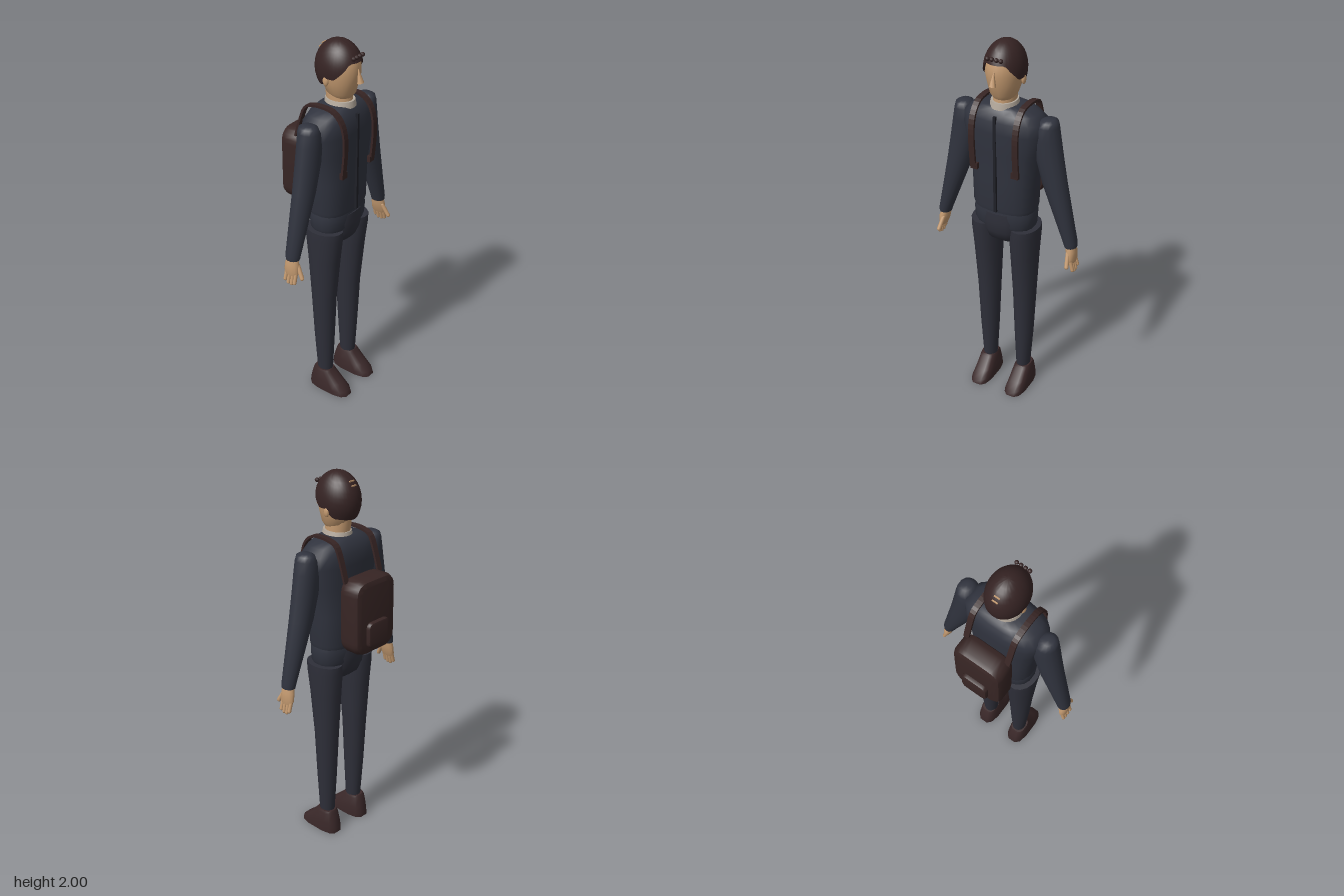
import * as THREE from 'three';
import { toCreasedNormals } from 'three/addons/utils/BufferGeometryUtils.js';

const material = (name, color, side = THREE.FrontSide) => {
  const m = new THREE.MeshStandardMaterial({ color, side });
  m.name = name;
  return m;
};

// Closed tube through horizontal sections [y, cx, cz, rx, rz], listed bottom to top
function loft(sections, sides = 16, power = 2) {
  const pos = [], index = [];
  const bend = (v) => Math.sign(v) * Math.pow(Math.abs(v), 2 / power);
  for (const [y, cx, cz, rx, rz] of sections) {
    for (let i = 0; i < sides; i++) {
      const a = ((i + 0.5) / sides) * Math.PI * 2;
      pos.push(cx + rx * bend(Math.cos(a)), y, cz + rz * bend(Math.sin(a)));
    }
  }
  const last = sections.length - 1;
  const low = sections.length * sides, high = low + 1;
  pos.push(sections[0][1], sections[0][0], sections[0][2]);
  pos.push(sections[last][1], sections[last][0], sections[last][2]);
  for (let i = 0; i < sides; i++) {
    const j = (i + 1) % sides;
    for (let r = 0; r < last; r++) {
      const a = r * sides + i, b = r * sides + j;
      index.push(a, a + sides, b, b, a + sides, b + sides);
    }
    index.push(low, i, j, high, last * sides + j, last * sides + i);
  }
  const g = new THREE.BufferGeometry();
  g.setAttribute('position', new THREE.Float32BufferAttribute(pos, 3));
  g.setIndex(index);
  return toCreasedNormals(g, 0.9);
}

// Hair cap: an ellipsoid cut off along a hairline that varies around the head
function hairCap() {
  const line = [[0, 1.91], [0.58, 1.91], [0.8, 1.88], [1.25, 1.83], [1.6, 1.83], [1.95, 1.785], [3.2, 1.775]];
  const lineAt = (p) => {
    const k = line.findIndex((e, i) => i > 0 && p <= e[0]);
    const [a, b] = [line[k - 1], line[k]];
    return a[1] + (b[1] - a[1]) * (p - a[0]) / (b[0] - a[0]);
  };
  const n = 40, rows = 12, pos = [], index = [];
  for (let r = 0; r <= rows; r++) {
    for (let i = 0; i < n; i++) {
      const a = (i / n) * Math.PI * 2;
      const start = Math.asin((lineAt(Math.min(a, Math.PI * 2 - a)) - 1.86) / 0.14);
      const t = start + (Math.PI / 2 - start) * Math.max(0, r - 1) / (rows - 1);
      const k = Math.cos(t) * (r === 0 ? 0.82 : 1);
      pos.push(0.1 * k * Math.sin(a), 1.86 + 0.14 * Math.sin(t), 0.06 + 0.123 * k * Math.cos(a));
    }
  }
  for (let r = 0; r < rows; r++) {
    for (let i = 0; i < n; i++) {
      const a = r * n + i, b = r * n + (i + 1) % n;
      index.push(a, b, a + n, b, b + n, a + n);
    }
  }
  const g = new THREE.BufferGeometry();
  g.setAttribute('position', new THREE.Float32BufferAttribute(pos, 3));
  g.setIndex(index);
  return toCreasedNormals(g, 0.9);
}

// Flat strap following a path of [z, y] points
function strap(points, width, thick) {
  const curve = new THREE.SplineCurve(points.map((p) => new THREE.Vector2(...p)));
  const outer = [], inner = [];
  for (let i = 0; i <= 28; i++) {
    const p = curve.getPoint(i / 28), t = curve.getTangent(i / 28);
    const off = new THREE.Vector2(-t.y, t.x).multiplyScalar(thick / 2);
    outer.push(p.clone().add(off));
    inner.unshift(p.clone().sub(off));
  }
  const g = new THREE.ExtrudeGeometry(new THREE.Shape([...outer, ...inner]), { depth: width, bevelEnabled: false });
  return g.rotateY(-Math.PI / 2).translate(width / 2, 0, 0);
}

// Rounded, bevelled slab spanning x +-w/2, y0..y1, z0..z1
function slab(w, y0, y1, z0, z1, radius, bevel) {
  const x = w / 2 - bevel, b = y0 + bevel, t = y1 - bevel, r = radius;
  const s = new THREE.Shape();
  s.moveTo(-x + r, b).lineTo(x - r, b).quadraticCurveTo(x, b, x, b + r);
  s.lineTo(x, t - r).quadraticCurveTo(x, t, x - r, t).lineTo(-x + r, t);
  s.quadraticCurveTo(-x, t, -x, t - r).lineTo(-x, b + r).quadraticCurveTo(-x, b, -x + r, b);
  const g = new THREE.ExtrudeGeometry(s, {
    depth: z1 - z0 - 2 * bevel, bevelThickness: bevel, bevelSize: bevel, bevelSegments: 2, curveSegments: 5,
  });
  return toCreasedNormals(g.translate(0, 0, z0 + bevel), 0.7);
}

// Capsule between two points
function finger(a, b, radius) {
  const p = new THREE.Vector3(...a), d = new THREE.Vector3(...b).sub(p);
  const g = new THREE.CapsuleGeometry(radius, d.length(), 3, 8);
  g.applyQuaternion(new THREE.Quaternion().setFromUnitVectors(new THREE.Vector3(0, 1, 0), d.clone().normalize()));
  return g.translate(...p.addScaledVector(d, 0.5).toArray());
}

export function createModel() {
  const model = new THREE.Group();
  model.name = 'walkerWithBackpack';
  const jacket = material('jacketNavy', 0x30333e);
  const trousers = material('trouserCharcoal', 0x2e2f39);
  const leather = material('packBrown', 0x372524);
  const shoe = material('shoeBrown', 0x3a2829);
  const hair = material('hairBrown', 0x352323, THREE.DoubleSide);
  const skin = material('skin', 0xc49a70);
  const cloth = material('collarGrey', 0xb4a99c);
  const dark = material('zipDark', 0x1f2027);
  const add = (name, geometry, mat) => {
    const mesh = new THREE.Mesh(geometry, mat);
    mesh.name = name;
    model.add(mesh);
    return mesh;
  };

  // Torso and hips
  add('jacketBody', loft([
    [1.12, 0, 0.053, 0.163, 0.108], [1.14, 0, 0.053, 0.168, 0.112], [1.3, 0, 0.053, 0.172, 0.113],
    [1.45, 0, 0.054, 0.192, 0.116], [1.56, 0, 0.055, 0.215, 0.12], [1.62, 0, 0.055, 0.212, 0.116],
    [1.655, 0, 0.056, 0.175, 0.1], [1.677, 0, 0.058, 0.125, 0.085], [1.688, 0, 0.06, 0.07, 0.072]], 20, 2.6), jacket);
  add('jacketHem', loft([
    [1.02, 0, 0.055, 0.155, 0.095], [1.04, 0, 0.055, 0.163, 0.103], [1.1, 0, 0.055, 0.166, 0.107],
    [1.13, 0, 0.055, 0.16, 0.104]], 20, 2.5), jacket);
  add('pelvis', loft([
    [0.93, 0, 0.055, 0.08, 0.06], [0.95, 0, 0.055, 0.098, 0.085], [1.0, 0, 0.055, 0.112, 0.107],
    [1.06, 0, 0.055, 0.122, 0.113], [1.11, 0, 0.055, 0.118, 0.111]], 18, 2.5), trousers);
  add('zip', new THREE.BoxGeometry(0.014, 0.52, 0.014).translate(0, 1.39, 0.17), dark);

  // Neck, collar and head
  add('collar', loft([[1.675, 0, 0.068, 0.072, 0.082], [1.707, 0, 0.068, 0.064, 0.076]], 20), cloth);
  add('neck', loft([[1.68, 0, 0.068, 0.056, 0.068], [1.78, 0, 0.055, 0.056, 0.07]], 18), skin);
  add('face', loft([
    [1.722, 0, 0.078, 0.05, 0.054], [1.745, 0, 0.073, 0.067, 0.074], [1.8, 0, 0.065, 0.082, 0.096],
    [1.85, 0, 0.063, 0.091, 0.109], [1.91, 0, 0.06, 0.089, 0.107], [1.96, 0, 0.06, 0.065, 0.08]], 24), skin);
  const nose = new THREE.ConeGeometry(0.018, 0.075, 8).scale(1, 1, 0.9).rotateX(-0.2);
  add('nose', nose.translate(0, 1.845, 0.177), skin);
  add('hair', hairCap(), hair);
  for (const x of [-0.035, -0.012, 0.012, 0.035]) {
    add('fringeTuft', new THREE.SphereGeometry(0.011, 8, 6).translate(x, 1.935, 0.168), hair);
  }
  for (const [y, z] of [[1.942, -0.041], [1.961, -0.026]]) {
    add('crownParting', new THREE.BoxGeometry(0.03, 0.006, 0.006).translate(-0.002, y, z), skin);
  }

  // Backpack
  add('backpack', slab(0.276, 1.13, 1.52, -0.2, -0.073, 0.045, 0.03), leather);
  add('backpackPocket', slab(0.148, 1.17, 1.305, -0.222, -0.18, 0.02, 0.012), leather);

  // Mirrored parts
  for (const s of [1, -1]) {
    const side = s > 0 ? 'left' : 'right';
    add(side + 'Sleeve', loft([
      [0.975, s * 0.363, 0.055, 0.032, 0.037], [1.0, s * 0.359, 0.055, 0.036, 0.04],
      [1.31, s * 0.267, 0.055, 0.066, 0.055], [1.45, s * 0.235, 0.055, 0.073, 0.059],
      [1.55, s * 0.222, 0.055, 0.069, 0.06], [1.61, s * 0.226, 0.055, 0.053, 0.057],
      [1.635, s * 0.23, 0.055, 0.042, 0.048], [1.645, s * 0.23, 0.055, 0.025, 0.03]], 14), jacket);

    // Hand with four fingers and a thumb
    add(side + 'Palm', loft([
      [0.89, s * 0.377, 0.055, 0.014, 0.036], [0.91, s * 0.374, 0.055, 0.02, 0.043],
      [0.95, s * 0.368, 0.055, 0.026, 0.04], [0.99, s * 0.361, 0.055, 0.024, 0.028]], 12), skin);
    [0.026, 0.045, 0.065, 0.084].forEach((z, i) => {
      const tip = [0.858, 0.845, 0.845, 0.853][i];
      add(side + 'Finger', finger([s * 0.376, 0.905, z], [s * 0.389, tip, z], 0.0095), skin);
    });
    add(side + 'Thumb', finger([s * 0.362, 0.945, 0.085], [s * 0.372, 0.885, 0.118], 0.011), skin);

    add(side + 'Ear', new THREE.SphereGeometry(1, 10, 8).scale(0.01, 0.026, 0.016).translate(s * 0.091, 1.815, 0.05), skin);

    // Trouser leg and shoe
    add(side + 'Leg', loft([
      [0.11, s * 0.102, 0.055, 0.036, 0.043], [0.35, s * 0.104, 0.052, 0.05, 0.056],
      [0.6, s * 0.105, 0.05, 0.06, 0.068], [0.85, s * 0.106, 0.053, 0.071, 0.089],
      [0.98, s * 0.108, 0.055, 0.077, 0.103], [1.025, s * 0.108, 0.055, 0.077, 0.104]], 16), trousers);
    add(side + 'Shoe', loft([
      [0, s * 0.105, 0.095, 0.056, 0.125], [0.025, s * 0.105, 0.091, 0.056, 0.119],
      [0.06, s * 0.105, 0.074, 0.052, 0.095], [0.115, s * 0.106, 0.053, 0.045, 0.058],
      [0.128, s * 0.106, 0.052, 0.04, 0.05]], 12, 3), shoe);

    // Shoulder strap and its end buckle
    add(side + 'Strap', strap([
      [-0.105, 1.5], [-0.075, 1.6], [-0.045, 1.67], [0, 1.69], [0.06, 1.695], [0.12, 1.685],
      [0.165, 1.64], [0.185, 1.57], [0.186, 1.48], [0.176, 1.36]], 0.03, 0.012).translate(s * 0.118, 0, 0), leather);
    add(side + 'Buckle', new THREE.BoxGeometry(0.038, 0.032, 0.018).translate(s * 0.112, 1.365, 0.173), leather);
  }
  return model;
}
